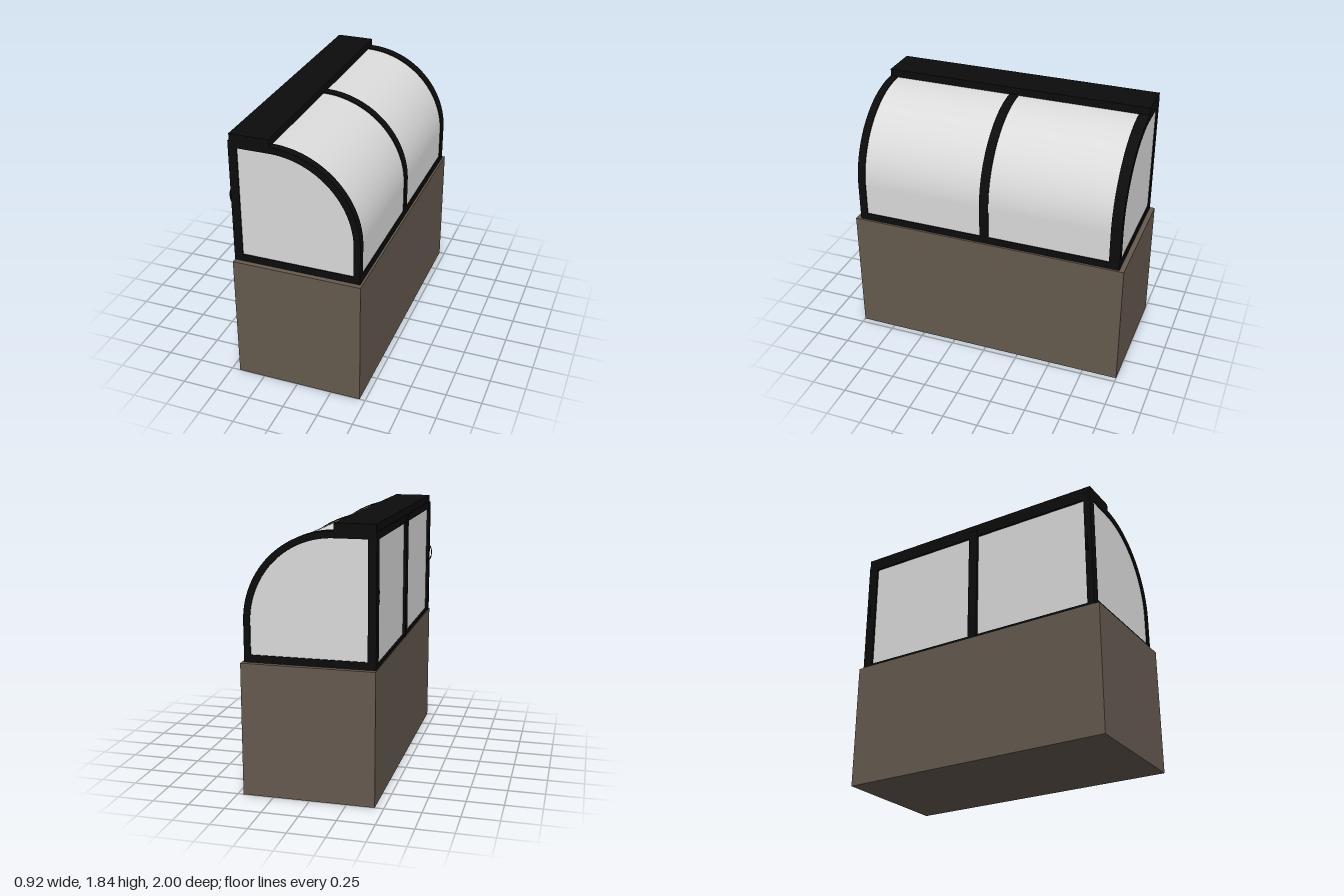
import * as THREE from 'three';
import { toCreasedNormals } from 'three/addons/utils/BufferGeometryUtils.js';

// Display counter: solid base with a curved glass case on top
export function createModel() {
  const model = new THREE.Group();
  const material = (name, color) => {
    const m = new THREE.MeshStandardMaterial({ color });
    m.name = name;
    return m;
  };
  const wood = material('brown base', 0x655a4f);
  const black = material('black frame', 0x0c0c0c);
  const glass = material('pale glass', 0xdcdcdc);

  const add = (name, geometry, mat) => {
    const mesh = new THREE.Mesh(geometry, mat);
    mesh.name = name;
    model.add(mesh);
    return mesh;
  };
  // Box given by its limits on each axis
  const box = (name, mat, x0, x1, y0, y1, z0, z1) =>
    add(name, new THREE.BoxGeometry(x1 - x0, y1 - y0, z1 - z0), mat)
      .position.set((x0 + x1) / 2, (y0 + y1) / 2, (z0 + z1) / 2);
  // Side profile of the case: upright back, rounded front
  const trace = (path, left, inset, bottom) => {
    const r = 0.605 - inset;
    path.moveTo(left, bottom);
    path.lineTo(-0.16 + r, bottom);
    path.lineTo(-0.16 + r, 1.18);
    path.absarc(-0.16, 1.18, r, 0, Math.PI / 2, false);
    path.lineTo(left, 1.18 + r);
    path.closePath();
    return path;
  };
  const extrude = (name, shape, mat, z0, z1) => {
    const g = new THREE.ExtrudeGeometry(shape, { depth: z1 - z0, bevelEnabled: false, curveSegments: 32 });
    g.translate(0, 0, z0);
    return add(name, toCreasedNormals(g, 0.5), mat);
  };

  box('base', wood, -0.44, 0.46, 0, 0.91, -1, 1);

  // Glass body, slightly recessed behind the frame
  extrude('glassCase', trace(new THREE.Shape(), -0.42, 0.008, 0.911), glass, -0.957, 0.957);

  // End frames and centre arch
  for (const [name, z0, z1] of [['frontFrame', 0.91, 0.965], ['backFrame', -0.965, -0.89], ['centreArch', -0.025, 0.04]]) {
    const ring = trace(new THREE.Shape(), -0.43, 0, 0.91);
    ring.holes.push(trace(new THREE.Path(), -0.38, 0.045, 0.96));
    extrude(name, ring, black, z0, z1);
  }

  // Long rails and top cap
  box('frontRail', black, 0.395, 0.445, 0.91, 0.96, -0.965, 0.965);
  box('rearSill', black, -0.435, -0.38, 0.91, 0.93, -0.965, 0.965);
  box('rearHeader', black, -0.435, -0.38, 1.735, 1.785, -0.965, 0.965);
  box('topCap', black, -0.43, -0.16, 1.78, 1.835, -0.965, 0.965);

  // Stiles of the two overlapping sliding doors
  box('outerDoorEndStile', black, -0.44, -0.38, 0.91, 1.785, 0.915, 0.965);
  box('outerDoorMiddleStile', black, -0.44, -0.38, 0.91, 1.785, -0.03, 0.04);
  box('innerDoorEndStile', black, -0.435, -0.38, 0.91, 1.785, -0.965, -0.89);

  // Small bowed door pulls
  for (const [z, reach] of [[0.937, 0.022], [-0.93, 0.008]]) {
    const bow = new THREE.TorusGeometry(0.052, 0.008, 8, 20, Math.PI);
    bow.rotateZ(Math.PI / 2);
    bow.scale(reach / 0.06, 1, 1);
    add('doorPull', bow, black).position.set(-0.44, 1.38, z);
  }
  return model;
}
